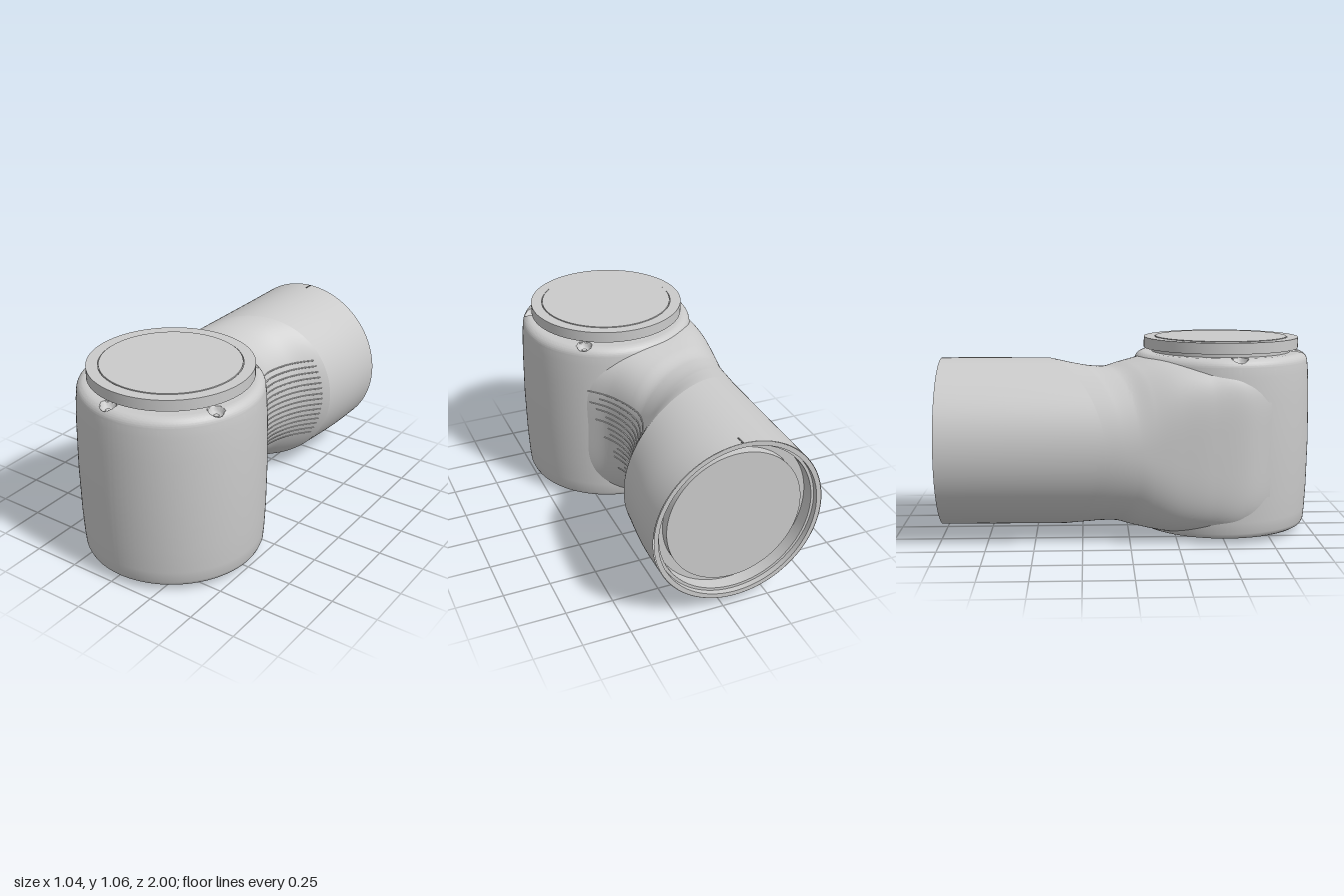
import * as THREE from 'three';
import { toCreasedNormals } from 'three/addons/utils/BufferGeometryUtils.js';

const BX = 0.035, BZ = 0.51; // upright body axis
const V2 = (a) => a.map(([x, y]) => new THREE.Vector2(x, y));

export function createModel() {
  const group = new THREE.Group();
  const grey = new THREE.MeshStandardMaterial({ color: 0xcacaca, side: THREE.DoubleSide });
  grey.name = 'grey';

  const add = (name, geo, x = 0, y = 0, z = 0) => {
    const m = new THREE.Mesh(geo, grey);
    m.name = name;
    m.position.set(x, y, z);
    group.add(m);
    return m;
  };
  const lathe = (pts, seg = 96) => toCreasedNormals(new THREE.LatheGeometry(V2(pts), seg), 0.6);

  // Upright body: hollow underside, slightly barrelled wall, rounded shoulder
  const notches = [[0.29, 0.17], [-0.39, 0.56], [0.43, 0.68], [-0.02, 0.93]];
  const profile = [[0, 0.25], [0.34, 0.25], [0.375, 0.235], [0.4, 0.19], [0.415, 0.12], [0.424, 0.05],
    [0.43, 0.036], [0.44, 0.032], [0.452, 0.033], [0.464, 0.041], [0.472, 0.06], [0.477, 0.12], [0.483, 0.25],
    [0.487, 0.5], [0.483, 0.75], [0.477, 0.88], [0.473, 0.92]];
  for (let i = 0; i <= 16; i++) { // shoulder, finely stepped so the notches can be pressed in
    const a = (i / 16) * Math.PI / 2;
    profile.push([0.422 + 0.05 * Math.cos(a), 0.925 + 0.05 * Math.sin(a)]);
  }
  for (let r = 0.416; r > 0.38; r -= 0.006) profile.push([r, 0.975]);
  profile.push([0.37, 0.975], [0, 0.975]);
  const bodyGeo = new THREE.LatheGeometry(V2(profile), 400);
  const bp = bodyGeo.attributes.position;
  for (let i = 0; i < bp.count; i++) {
    const x = bp.getX(i) + BX, z = bp.getZ(i) + BZ;
    if (bp.getY(i) < 0.9) continue;
    for (const [nx, nz] of notches) { // bowl-shaped notch
      const d = Math.hypot(x - nx, z - nz) / 0.041;
      if (d < 1) bp.setY(i, Math.min(bp.getY(i), 0.942 + 0.033 * d ** 5));
    }
  }
  add('body', toCreasedNormals(bodyGeo, 0.6), BX, 0, BZ);
  notches.forEach(([x, z]) => add('notchPin', new THREE.CylinderGeometry(0.014, 0.014, 0.02, 20), x, 0.938, z));

  // Top flange with an inset lid, and the post below
  add('topFlange', lathe([[0.378, 0.96], [0.378, 0.995], [0.42, 0.995], [0.42, 1.053], [0.361, 1.053],
    [0.361, 1.04], [0.357, 1.04], [0.357, 1.056], [0, 1.056]]), BX, 0, BZ);
  add('bottomPost', new THREE.CylinderGeometry(0.287, 0.287, 0.27, 96), BX, 0.135, BZ);

  // Sections: inner-side point R, outer-side point L (x, z), half height, squareness, rearward bow
  const makeSpine = (rows) => {
    const curve = (f) => new THREE.CatmullRomCurve3(rows.map(f));
    const R = curve((r) => new THREE.Vector3(r[0], 0, r[1]));
    const L = curve((r) => new THREE.Vector3(r[2], 0, r[3]));
    const S = curve((r) => new THREE.Vector3(r[4], r[5], r[6]));
    return (u) => {
      const { x: h, y: n, z: bow } = S.getPoint(u);
      return { r: R.getPoint(u), l: L.getPoint(u), h, n, bow };
    };
  };
  const sectionPoint = (s, a) => {
    const sup = (c) => Math.sign(c) * Math.pow(Math.abs(c), 2 / s.n);
    const c = sup(Math.cos(a));
    const p = s.l.clone().lerp(s.r, (1 + c) / 2);
    p.y = 0.5 + s.h * sup(Math.sin(a));
    p.z -= s.bow * (1 - c * c);
    return p;
  };
  const loft = (spine, rings, rule) => {
    const pos = [], idx = [], seg = 180;
    for (let i = 0; i <= rings; i++) {
      const s = spine(i / rings);
      for (let j = 0; j < seg; j++) {
        const p = sectionPoint(s, (j / seg) * Math.PI * 2);
        if (rule) rule(p);
        pos.push(p.x, p.y, p.z);
        if (i < rings) {
          const a = i * seg + j, b = i * seg + (j + 1) % seg;
          idx.push(a, b, a + seg, b, b + seg, a + seg);
        }
      }
    }
    const g = new THREE.BufferGeometry();
    g.setAttribute('position', new THREE.Float32BufferAttribute(pos, 3));
    g.setIndex(idx);
    return toCreasedNormals(g, 0.7);
  };

  // Horizontal tube, ending in a slanted, bowed edge
  const tube = makeSpine([
    [0.385, -1, -0.52, -1, 0.45, 2, 0],
    [0.381, -0.78, -0.52, -0.7, 0.45, 2, 0.02],
    [0.354, -0.55, -0.52, -0.13, 0.449, 2, 0.07],
  ]);
  add('tube', loft(tube, 24));

  // Scooped neck flowing into the body; kept under the shoulder and clear of the hollow underside
  const neck = makeSpine([
    [0.354, -0.55, -0.52, -0.13, 0.449, 2, 0.07],
    [0.238, -0.4, -0.52, -0.04, 0.425, 2.05, 0.045],
    [0.187, -0.26, -0.517, 0.05, 0.412, 2.2, 0.02],
    [0.18, -0.15, -0.512, 0.14, 0.436, 2.6, 0],
    [0.225, 0, -0.505, 0.26, 0.461, 3.3, 0],
    [0.325, 0.13, -0.492, 0.42, 0.466, 4.2, 0],
    [0.42, 0.25, -0.46, 0.6, 0.466, 5, 0],
    [0.46, 0.36, -0.4, 0.73, 0.462, 5, 0],
  ]);
  add('neck', loft(neck, 110, (p) => {
    const r = Math.hypot(p.x - BX, p.z - BZ);
    if (r < 0.447) p.y = Math.max(p.y, 0.28);
    if (r < 0.42) p.y = Math.min(p.y, 0.92);
    else if (r < 0.458) p.y = Math.min(p.y, 0.922 + Math.sqrt(0.0025 - (r - 0.422) ** 2));
  }));

  // Fine grip ribs across the scoop, longer towards the top
  for (let k = 0; k < 15; k++) {
    const y = 0.27 + k * 0.0328, end = 0.47 + 0.015 * k + 0.04 * Math.sin(k * 2.3), pts = [];
    for (let i = 0; i <= 20; i++) {
      const s = neck(0.035 + (end - 0.035) * i / 20);
      const t = (y - 0.5) / s.h;
      const a = Math.asin(Math.sign(t) * Math.pow(Math.abs(t), s.n / 2));
      pts.push(sectionPoint(s, a));
    }
    add('gripRib', new THREE.TubeGeometry(new THREE.CatmullRomCurve3(pts), 40, 0.004, 6));
  }

  // Rear socket: rim, step, groove and inner face
  const socket = lathe([[0, -0.95], [0.362, -0.95], [0.362, -0.9], [0.41, -0.9], [0.41, -0.97],
    [0.425, -0.97], [0.425, -1], [0.4495, -1]], 120);
  socket.rotateX(Math.PI / 2);
  add('rearSocket', socket, -0.068, 0.5, 0);

  // Alignment mark on top of the tube end
  const dark = new THREE.MeshStandardMaterial({ color: 0x606060 });
  dark.name = 'darkGrey';
  const mark = add('alignmentMark', new THREE.BoxGeometry(0.009, 0.006, 0.052), -0.065, 0.949, -0.973);
  mark.material = dark;

  return group;
}
